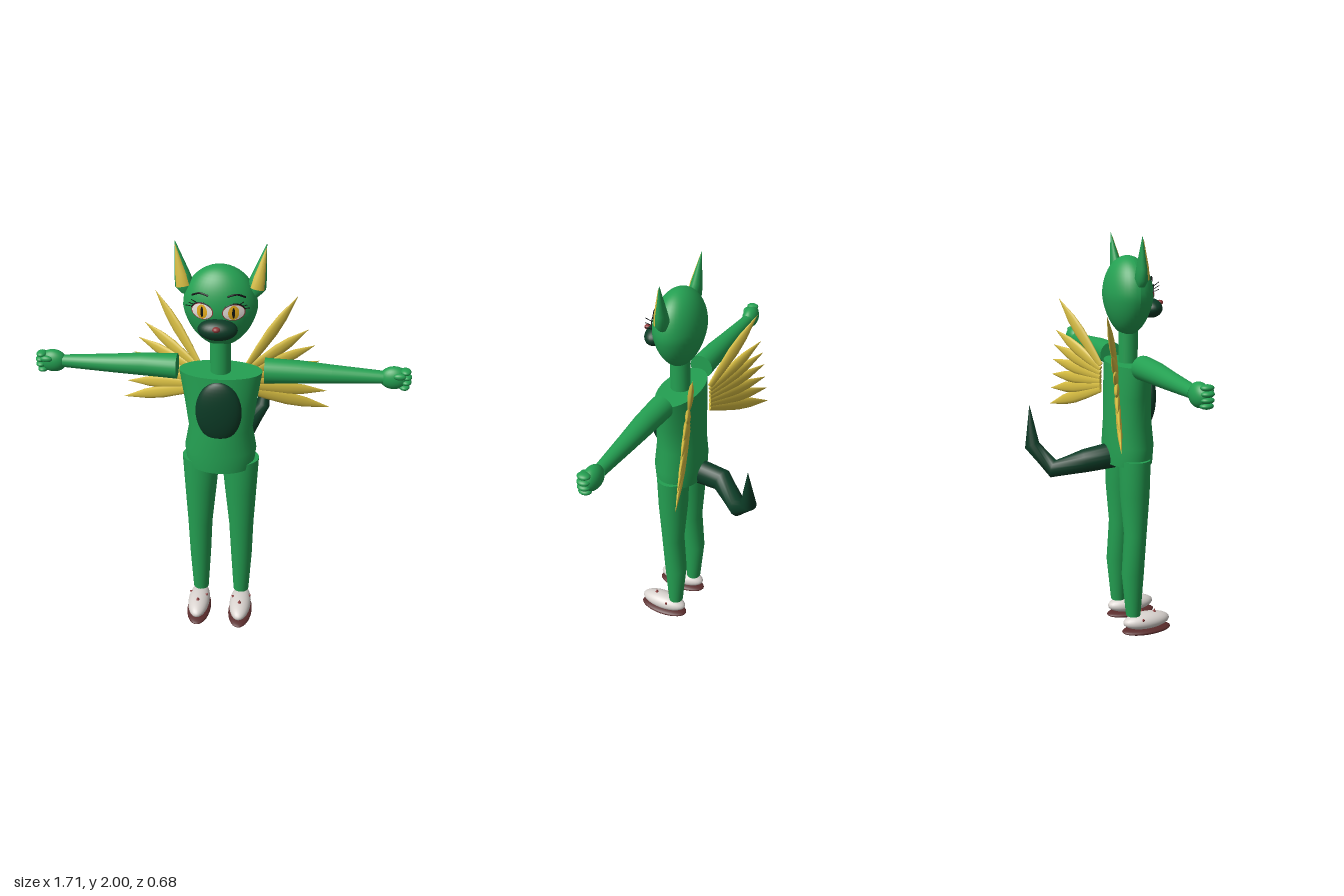
import * as THREE from 'three';

const mat = (name, color) => {
  const m = new THREE.MeshStandardMaterial({ color });
  m.name = name;
  return m;
};
const V = (x, y, z) => new THREE.Vector3(x, y, z);

// Sweep an ellipse along a polyline. rings: [x, y, z, ra, rb], ra lies along ref.
function loft(rings, ref, sides = 24) {
  const pos = [], idx = [], n = rings.length;
  const pts = rings.map(r => V(r[0], r[1], r[2]));
  rings.forEach((r, i) => {
    const t = V(0, 0, 0);
    if (i > 0) t.add(pts[i].clone().sub(pts[i - 1]).normalize());
    if (i < n - 1) t.add(pts[i + 1].clone().sub(pts[i]).normalize());
    t.normalize();
    const u = ref.clone().addScaledVector(t, -ref.dot(t)).normalize();
    const v = t.clone().cross(u);
    for (let j = 0; j < sides; j++) {
      const a = (j / sides) * Math.PI * 2;
      const p = pts[i].clone().addScaledVector(u, Math.cos(a) * r[3]).addScaledVector(v, Math.sin(a) * r[4]);
      pos.push(p.x, p.y, p.z);
    }
  });
  for (let i = 0; i < n - 1; i++) for (let j = 0; j < sides; j++) {
    const a = i * sides + j, b = i * sides + (j + 1) % sides;
    idx.push(a, b, b + sides, a, b + sides, a + sides);
  }
  // flat end caps on their own vertices
  [0, n - 1].forEach(i => {
    const start = pos.length / 3;
    for (let k = 0; k < sides * 3; k++) pos.push(pos[i * sides * 3 + k]);
    for (let j = 1; j < sides - 1; j++) {
      if (i === 0) idx.push(start, start + j + 1, start + j);
      else idx.push(start, start + j, start + j + 1);
    }
  });
  const g = new THREE.BufferGeometry();
  g.setAttribute('position', new THREE.Float32BufferAttribute(pos, 3));
  g.setIndex(idx);
  g.computeVertexNormals();
  return g;
}

const ball = (x, y, z, rx, ry, rz) =>
  new THREE.SphereGeometry(1, 28, 20).scale(rx, ry, rz).translate(x, y, z);

// Egg-shaped head and the depth of its front surface
const HEAD_Y = 1.72, HEAD_Z = 0.125, HEAD_RX = 0.164, HEAD_RZ = 0.113;
function headGeometry() {
  const g = new THREE.SphereGeometry(1, 40, 28), p = g.attributes.position;
  for (let i = 0; i < p.count; i++) {
    const y = p.getY(i), k = y < 0 ? 1 + 0.14 * y : 1;
    p.setXYZ(i, p.getX(i) * k * HEAD_RX, HEAD_Y + y * (y > 0 ? 0.185 : 0.19), HEAD_Z + p.getZ(i) * k * HEAD_RZ);
  }
  g.computeVertexNormals();
  return g;
}
function faceZ(x, y) {
  const t = (y - HEAD_Y) / (y > HEAD_Y ? 0.185 : 0.19);
  const r = HEAD_RX * Math.sqrt(Math.max(0, 1 - t * t)) * (t < 0 ? 1 + 0.14 * t : 1);
  return HEAD_Z + (HEAD_RZ / HEAD_RX) * Math.sqrt(Math.max(0, r * r - x * x));
}
// Oval skin lying on the face
function faceOval(cx, cy, rx, ry, lift) {
  const g = new THREE.RingGeometry(0.001, 1, 28, 4), p = g.attributes.position;
  for (let i = 0; i < p.count; i++) {
    const x = cx + p.getX(i) * rx, y = cy + p.getY(i) * ry;
    p.setXYZ(i, x, y, faceZ(x, y) + lift);
  }
  g.computeVertexNormals();
  return g;
}
// Thin line drawn on the face
const faceLine = (pts, r) => new THREE.TubeGeometry(
  new THREE.CatmullRomCurve3(pts.map(([x, y]) => V(x, y, faceZ(x, y) + 0.004))), 12, r, 6);

export function createModel() {
  const root = new THREE.Group();
  root.name = 'wingedCreature';
  const green = mat('bodyGreen', 0x24a052), dark = mat('darkGreen', 0x0c3b26);
  const gold = mat('featherGold', 0xd8be42), white = mat('eyeWhite', 0xf2ece6);
  const amber = mat('irisAmber', 0xe6ac1c), black = mat('lashBlack', 0x101413);
  const shoeMat = mat('shoeWhite', 0xd9d3cf), soleMat = mat('soleBrown', 0x5a2c2c);
  const red = mat('dullRed', 0x8e3a3a);
  const X = V(1, 0, 0), Y = V(0, 1, 0);
  const add = (name, geo, m, parent = root) => {
    const mesh = new THREE.Mesh(geo, m);
    mesh.name = name;
    parent.add(mesh);
    return mesh;
  };

  // Trunk
  add('torso', loft([
    [0, 0.908, 0.13, 0.16, 0.116], [0, 1.0, 0.13, 0.17, 0.12],
    [0, 1.11, 0.127, 0.15, 0.113], [0, 1.25, 0.125, 0.168, 0.106], [0, 1.4, 0.125, 0.19, 0.096],
  ], X, 40), green);
  add('bellyPatch', ball(0, 1.231, 0.218, 0.106, 0.155, 0.042), dark);
  add('neck', new THREE.CylinderGeometry(0.047, 0.047, 0.18, 24).translate(0, 1.47, 0.13), green);

  // Head and muzzle
  add('head', headGeometry(), green);
  add('muzzle', ball(0, 1.655, 0.24, 0.087, 0.047, 0.055), dark);
  add('nose', ball(0, 1.678, 0.293, 0.017, 0.012, 0.016), red);

  // Tail
  add('tail', loft([
    [0, 0.94, 0.05, 0.055, 0.065], [0, 0.925, -0.09, 0.053, 0.058],
    [0.095, 0.87, -0.225, 0.045, 0.045], [0.17, 0.98, -0.31, 0.036, 0.038],
    [0.195, 1.175, -0.312, 0.001, 0.001],
  ], X, 20), dark);

  for (const s of [1, -1]) {
    const side = new THREE.Group();
    side.name = s > 0 ? 'leftSide' : 'rightSide';
    root.add(side);
    const part = (name, geo, m) => add(name, geo, m, side);

    // Ear with golden lining
    part('ear', loft([
      [s * 0.148, 1.775, 0.13, 0.02, 0.018], [s * 0.155, 1.81, 0.13, 0.043, 0.03],
      [s * 0.166, 1.86, 0.127, 0.034, 0.025], [s * 0.195, 2.0, 0.115, 0.001, 0.001],
    ], X, 20), green);
    part('earLining', loft([
      [s * 0.158, 1.81, 0.141, 0.034, 0.024], [s * 0.168, 1.86, 0.137, 0.027, 0.02],
      [s * 0.194, 1.985, 0.121, 0.001, 0.001],
    ], X, 16), gold);

    // Eye, brow and lashes
    const ex = s * 0.068, ey = 1.732;
    part('eyeRim', faceOval(ex, ey, 0.049, 0.038, 0.002), red);
    part('eyeball', faceOval(ex, ey, 0.045, 0.034, 0.004), white);
    part('iris', faceOval(ex, ey, 0.023, 0.032, 0.006), amber);
    part('pupil', faceOval(ex, ey, 0.006, 0.024, 0.008), black);
    part('brow', faceLine([[s * 0.115, 1.792], [s * 0.08, 1.808], [s * 0.04, 1.802]], 0.004), black);
    part('upperLid', faceLine([[s * 0.116, 1.742], [s * 0.1, 1.762], [s * 0.068, 1.771], [s * 0.03, 1.757]], 0.0025), black);
    for (let i = 0; i < 3; i++) {
      const x = 0.117 - i * 0.013, y = 1.743 + i * 0.011;
      const a = V(s * x, y, faceZ(x, y));
      part('lash', new THREE.TubeGeometry(
        new THREE.LineCurve3(a, a.clone().add(V(s * 0.022, 0.014 + i * 0.005, 0.022))), 1, 0.0018, 5), black);
    }

    // Arm, hand and curled fingers
    part('arm', loft([
      [s * 0.2, 1.406, 0.122, 0.058, 0.058], [s * 0.36, 1.408, 0.122, 0.052, 0.052],
      [s * 0.5, 1.405, 0.122, 0.043, 0.043], [s * 0.73, 1.403, 0.122, 0.029, 0.029],
    ], Y), green);
    part('hand', ball(s * 0.778, 1.403, 0.122, 0.064, 0.054, 0.04), green);
    for (let i = 0; i < 4; i++)
      part('finger', ball(s * (0.832 - (i % 3 ? 0 : 0.006)), 1.366 + i * 0.025, 0.132, 0.024, 0.014, 0.03), green);
    part('thumb', ball(s * 0.8, 1.425, 0.155, 0.028, 0.015, 0.015), green);

    // Leg
    part('leg', loft([
      [s * 0.105, 0.11, 0.127, 0.039, 0.037], [s * 0.105, 0.34, 0.122, 0.053, 0.057],
      [s * 0.103, 0.55, 0.134, 0.061, 0.056], [s * 0.098, 0.76, 0.131, 0.077, 0.073],
      [s * 0.094, 0.937, 0.13, 0.09, 0.077],
    ], X), green);

    // Shoe with sole and small spikes
    part('shoe', ball(s * 0.108, 0.068, 0.199, 0.055, 0.043, 0.126), shoeMat);
    part('sole', ball(s * 0.108, 0.019, 0.2, 0.061, 0.019, 0.132), soleMat);
    [[0.108, 0.111, 0.243, 0], [0.152, 0.09, 0.165, -0.9], [0.07, 0.098, 0.19, 0.7]].forEach(([x, y, z, tilt]) =>
      part('shoeSpike', new THREE.ConeGeometry(0.014, 0.028, 10)
        .rotateZ(s * tilt).translate(s * x, y, z), red));

    // Wing: a fan of leaf-shaped feathers, given as tip x, tip y, root y
    const wing = new THREE.Group();
    wing.name = 'wing';
    side.add(wing);
    [[0.33, 1.675, 1.37], [0.386, 1.51, 1.35], [0.42, 1.43, 1.33], [0.445, 1.35, 1.31],
      [0.46, 1.27, 1.29], [0.487, 1.19, 1.27], [0.508, 1.1, 1.25]].forEach(([tx, ty, ry]) => {
      const a = V(s * 0.11, ry, 0.03), b = V(s * tx, ty, -0.107);
      const ring = (t, r) => [...a.clone().lerp(b, t).toArray(), r, r * 0.4];
      add('feather', loft([
        ring(0, 0.016), ring(0.25, 0.026), ring(0.5, 0.032), ring(0.7, 0.026), ring(1, 0.0008),
      ], Y, 12), gold, wing);
    });
  }
  return root;
}
